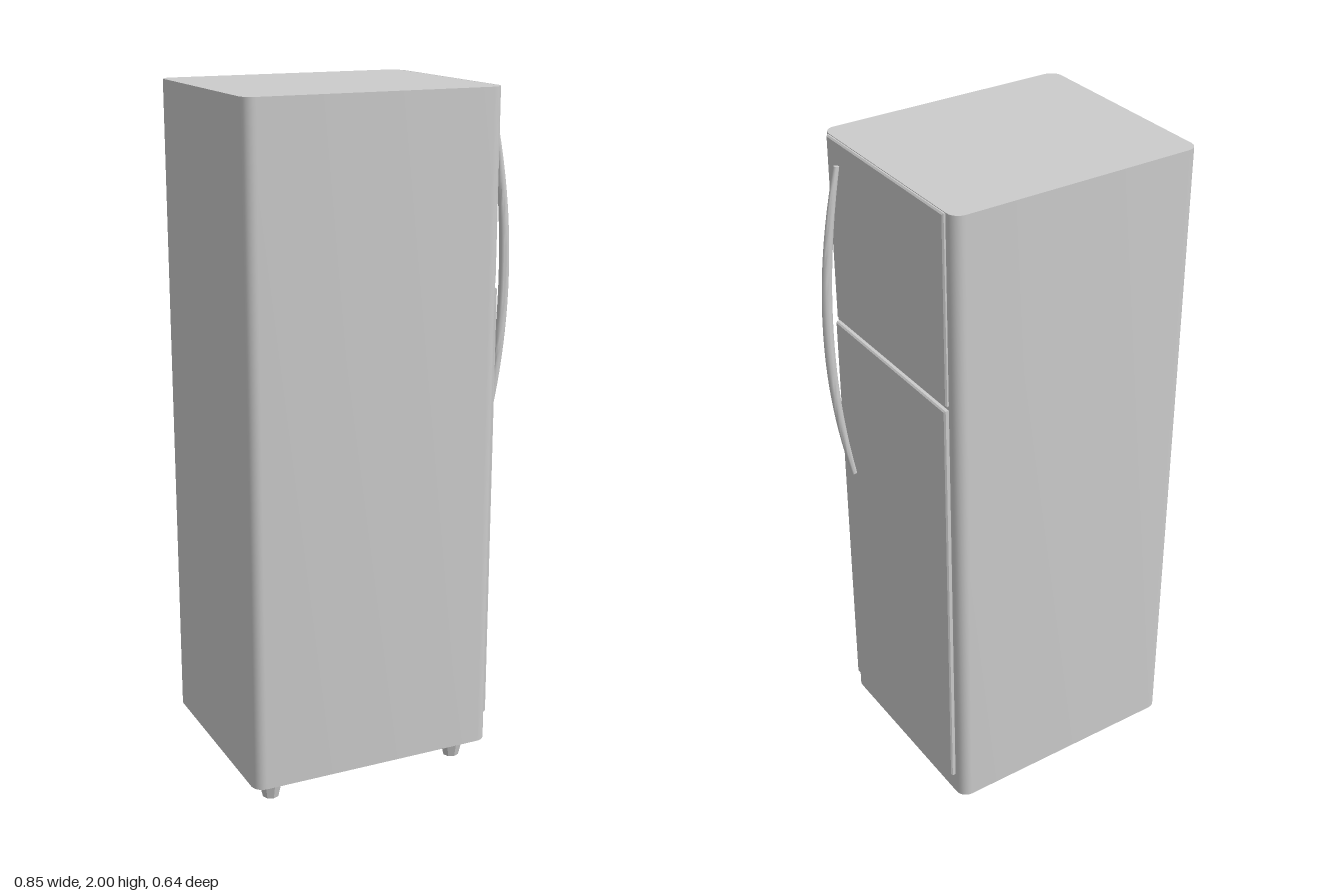
import * as THREE from 'three';
import { toCreasedNormals } from 'three/addons/utils/BufferGeometryUtils.js';

const material = new THREE.MeshStandardMaterial({ color: 0xcccccc });

function part(name, geometry) {
  const mesh = new THREE.Mesh(geometry, material);
  mesh.name = name;
  return mesh;
}

// Cabinet: rounded rectangle footprint pulled upward
function cabinetGeometry(x0, x1, halfZ, y0, y1, r) {
  const s = new THREE.Shape();
  s.absarc(x1 - r, halfZ - r, r, 0, Math.PI / 2);
  s.absarc(x0 + r, halfZ - r, r, Math.PI / 2, Math.PI);
  s.absarc(x0 + r, -halfZ + r, r, Math.PI, Math.PI * 1.5);
  s.absarc(x1 - r, -halfZ + r, r, Math.PI * 1.5, Math.PI * 2);
  const g = new THREE.ExtrudeGeometry(s, { depth: y1 - y0, bevelEnabled: false, curveSegments: 3 });
  g.rotateX(-Math.PI / 2).translate(0, y0, 0);
  return toCreasedNormals(g, 0.9);
}

// Door: thin slab on the +x side with a small bevel round its outer face
function doorGeometry(halfZ, y0, y1, x0, x1) {
  const b = 0.004;
  const s = new THREE.Shape();
  s.moveTo(-halfZ + b, y0 + b);
  s.lineTo(halfZ - b, y0 + b);
  s.lineTo(halfZ - b, y1 - b);
  s.lineTo(-halfZ + b, y1 - b);
  s.closePath();
  const g = new THREE.ExtrudeGeometry(s, {
    depth: x1 - x0 - 2 * b, bevelThickness: b, bevelSize: b, bevelSegments: 1,
  });
  return g.rotateY(Math.PI / 2).translate(x0 + b, 0, 0);
}

// Handle: cylinder bent along a shallow bow, thicker in the middle
function handleGeometry() {
  const g = new THREE.CylinderGeometry(1, 1, 1, 12, 24);
  const p = g.attributes.position;
  const half = 0.483, bow = 0.055;
  for (let i = 0; i < p.count; i++) {
    const u = p.getY(i) * 2;
    const swell = 1 - u * u;
    const tangent = new THREE.Vector2(-2 * bow * u, half).normalize();
    const rx = p.getX(i) * (0.008 + 0.007 * swell);
    const rz = p.getZ(i) * (0.007 + 0.006 * swell);
    p.setXYZ(i,
      0.354 + bow * swell + tangent.y * rx,
      1.464 + half * u - tangent.x * rx,
      0.2 + rz);
  }
  return toCreasedNormals(g, 0.9);
}

export function createModel() {
  const model = new THREE.Group();
  model.name = 'refrigerator';

  model.add(part('cabinet', cabinetGeometry(-0.425, 0.325, 0.321, 0.068, 2, 0.034)));
  model.add(part('freezerDoor', doorGeometry(0.285, 1.456, 2, 0.323, 0.335)));
  model.add(part('mainDoor', doorGeometry(0.285, 0.14, 1.444, 0.323, 0.34)));
  model.add(part('handle', handleGeometry()));

  // Four tapered feet
  const footGeometry = toCreasedNormals(new THREE.CylinderGeometry(0.04, 0.024, 0.068, 8), 0.5);
  for (const x of [-0.348, 0.245]) {
    for (const z of [-0.242, 0.242]) {
      const foot = part('foot', footGeometry);
      foot.position.set(x, 0.034, z);
      model.add(foot);
    }
  }
  return model;
}
